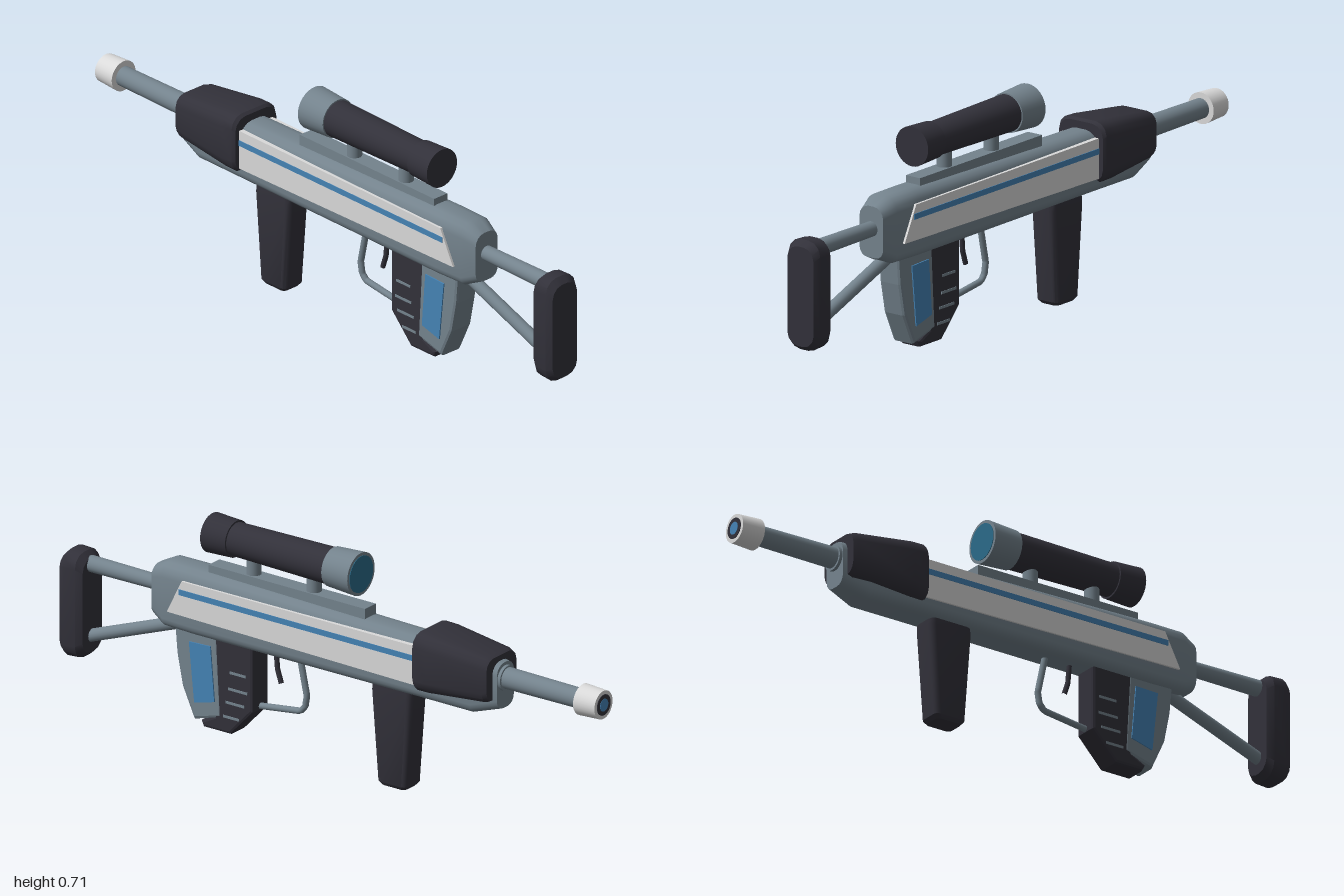
import * as THREE from 'three';
import { toCreasedNormals } from 'three/addons/utils/BufferGeometryUtils.js';

function material(name, color) {
  const m = new THREE.MeshStandardMaterial({ color });
  m.name = name;
  return m;
}

// Rounded-rectangle outline, counter-clockwise, with separate bottom and top corner radii
function outline(hw, lo, hi, rLow, rHigh, steps) {
  const pts = [];
  const corners = [[1, lo + rLow, rLow, -90], [1, hi - rHigh, rHigh, 0], [-1, hi - rHigh, rHigh, 90], [-1, lo + rLow, rLow, 180]];
  for (const [side, cy, r, start] of corners) {
    for (let i = 0; i <= steps; i++) {
      const a = THREE.MathUtils.degToRad(start + (90 * i) / steps);
      pts.push([side * (hw - r) + r * Math.cos(a), cy + r * Math.sin(a)]);
    }
  }
  return pts;
}

// Closed loft along +z; sections are [z, halfWidth, low, high, lowRadius, highRadius]
function loft(sections, steps = 3) {
  const pos = [], index = [], n = 4 * (steps + 1);
  for (const [z, ...s] of sections) for (const [x, y] of outline(...s, steps)) pos.push(x, y, z);
  for (let k = 0; k < sections.length - 1; k++) {
    for (let i = 0; i < n; i++) {
      const a = k * n + i, b = k * n + ((i + 1) % n);
      index.push(a, b, b + n, a, b + n, a + n);
    }
  }
  const last = sections.length - 1;
  for (const k of [0, last]) {
    const [z, , lo, hi] = sections[k];
    const c = pos.length / 3;
    pos.push(0, (lo + hi) / 2, z);
    for (let i = 0; i < n; i++) {
      const a = k * n + i, b = k * n + ((i + 1) % n);
      if (k === 0) index.push(c, b, a); else index.push(c, a, b);
    }
  }
  const g = new THREE.BufferGeometry();
  g.setAttribute('position', new THREE.Float32BufferAttribute(pos, 3));
  g.setIndex(index);
  return toCreasedNormals(g, 0.6);
}

// Side-profile plate: points are [z, y], spanning x0..x1
function plate(points, x0, x1, bevel = 0) {
  const shape = new THREE.Shape(points.map(([z, y]) => new THREE.Vector2(z, y)));
  const g = new THREE.ExtrudeGeometry(shape, {
    depth: x1 - x0 - 2 * bevel, bevelEnabled: bevel > 0,
    bevelSize: bevel, bevelThickness: bevel, bevelOffset: -bevel, bevelSegments: 2,
  });
  g.rotateY(-Math.PI / 2);
  return g.translate(x1 - bevel, 0, 0);
}

// Cylinder along z from z0 to z1
function barrelPart(r0, r1, z0, z1, y) {
  return new THREE.CylinderGeometry(r1, r0, z1 - z0, 32).rotateX(Math.PI / 2).translate(0, y, (z0 + z1) / 2);
}

// Round bar through [z, y] points
function bar(points, r) {
  const path = new THREE.CurvePath();
  const v = points.map(([z, y]) => new THREE.Vector3(0, y, z));
  for (let i = 0; i < v.length - 1; i++) path.add(new THREE.LineCurve3(v[i], v[i + 1]));
  return new THREE.TubeGeometry(path, (v.length - 1) * 8, r, 16);
}

export function createModel() {
  const grey = material('grey metal', 0x74838d);
  const dark = material('dark polymer', 0x32313a);
  const white = material('off-white', 0xdadada);
  const blue = material('blue accent', 0x4583b5);
  const glass = material('lens teal', 0x2b6a88);

  const model = new THREE.Group();
  const add = (name, geometry, mat) => {
    const mesh = new THREE.Mesh(geometry, mat);
    mesh.name = name;
    model.add(mesh);
    return mesh;
  };

  // Receiver and handguard
  add('receiver', loft([
    [-0.63, 0.042, 0.345, 0.49, 0.03, 0.035],
    [-0.54, 0.058, 0.318, 0.505, 0.03, 0.045],
    [-0.35, 0.062, 0.32, 0.51, 0.03, 0.045],
    [0.5, 0.062, 0.316, 0.525, 0.03, 0.045],
    [0.61, 0.06, 0.318, 0.525, 0.03, 0.045],
    [0.66, 0.045, 0.34, 0.5, 0.03, 0.035],
  ], 4), grey);
  add('handguard', loft([
    [-0.615, 0.074, 0.375, 0.51, 0.035, 0.035],
    [-0.6, 0.078, 0.368, 0.515, 0.035, 0.035],
    [-0.4, 0.092, 0.352, 0.538, 0.04, 0.042],
    [-0.355, 0.09, 0.35, 0.54, 0.04, 0.042],
    [-0.345, 0.084, 0.355, 0.533, 0.04, 0.042],
  ]), dark);

  // Side panels with a long stripe
  for (const s of [-1, 1]) {
    const span = (a, b) => (s > 0 ? [a, b] : [-b, -a]);
    add('sidePanel', plate([[0.585, 0.378], [0.53, 0.488], [-0.36, 0.492], [-0.36, 0.366]], ...span(0.05, 0.068)), white);
    add('sideStripe', plate([[0.54, 0.443], [0.54, 0.461], [-0.36, 0.461], [-0.36, 0.443]], ...span(0.066, 0.07)), blue);
    add('gripInlay', plate([[0.52, 0.29], [0.44, 0.293], [0.425, 0.118], [0.5, 0.098]], ...span(0.037, 0.045)), blue);
    for (const [z0, z1, y] of [[0.31, 0.37, 0.225], [0.305, 0.375, 0.172], [0.315, 0.385, 0.127], [0.335, 0.395, 0.08]]) {
      add('magazineRib', plate([[z0, y - 0.004], [z1, y - 0.004], [z1, y + 0.004], [z0, y + 0.004]], ...span(0.036, 0.042)), grey);
    }
  }

  // Barrel and muzzle
  add('barrelCollar', barrelPart(0.04, 0.04, -0.64, -0.6, 0.44), grey);
  add('barrel', barrelPart(0.031, 0.034, -0.94, -0.6, 0.441), grey);
  add('muzzle', barrelPart(0.045, 0.049, -0.997, -0.92, 0.441), white);
  add('muzzleRing', barrelPart(0.033, 0.033, -0.999, -0.99, 0.441), dark);
  add('muzzleCore', barrelPart(0.02, 0.02, -1.0, -0.99, 0.441), blue);

  // Scope on its rail
  add('scopeRail', new THREE.BoxGeometry(0.054, 0.04, 0.585).translate(0, 0.526, 0.1675), grey);
  for (const z of [0.31, 0.085]) {
    add('scopeMount', new THREE.CylinderGeometry(0.023, 0.023, 0.08, 24).translate(0, 0.57, z), grey);
  }
  add('scopeEyepiece', barrelPart(0.058, 0.062, 0.375, 0.465, 0.641), dark);
  add('scopeTube', barrelPart(0.058, 0.052, 0.0, 0.39, 0.641), dark);
  add('scopeObjective', barrelPart(0.068, 0.062, -0.09, 0.012, 0.641), grey);
  add('scopeLens', barrelPart(0.058, 0.058, -0.092, -0.085, 0.641), glass);

  // Shoulder stock
  add('stockPad', loft([
    [0.915, 0.048, 0.147, 0.45, 0.04, 0.04],
    [0.935, 0.06, 0.13, 0.468, 0.045, 0.045],
    [0.98, 0.06, 0.127, 0.47, 0.045, 0.045],
    [1.0, 0.05, 0.142, 0.452, 0.04, 0.04],
  ]), dark);
  add('stockUpperTube', barrelPart(0.023, 0.026, 0.62, 0.93, 0.43), grey);
  add('stockLowerStrut', bar([[0.93, 0.195], [0.58, 0.325]], 0.02), grey);

  // Rear grip and magazine
  add('grip', plate([[0.578, 0.33], [0.57, 0.24], [0.55, 0.14], [0.505, 0.042], [0.4, 0.07], [0.415, 0.33]], -0.041, 0.041, 0.01), grey);
  add('magazine', plate([[0.44, 0.33], [0.43, 0.07], [0.48, 0.045], [0.47, 0.025], [0.37, 0.025], [0.285, 0.115], [0.285, 0.33]], -0.04, 0.04, 0.009), dark);

  // Trigger and guard
  add('trigger', bar([[0.228, 0.33], [0.222, 0.26], [0.208, 0.218]], 0.008), dark);
  add('triggerGuard', bar([[0.14, 0.33], [0.112, 0.2], [0.118, 0.165], [0.135, 0.146], [0.295, 0.125]], 0.01), grey);

  // Forward grip, lofted upwards
  add('foreGrip', loft([
    [0.0, 0.033, 0.188, 0.277, 0.014, 0.014],
    [0.012, 0.041, 0.178, 0.287, 0.016, 0.016],
    [0.3, 0.044, 0.156, 0.308, 0.018, 0.018],
    [0.335, 0.042, 0.158, 0.306, 0.018, 0.018],
  ]).rotateX(-Math.PI / 2), dark);

  return model;
}
